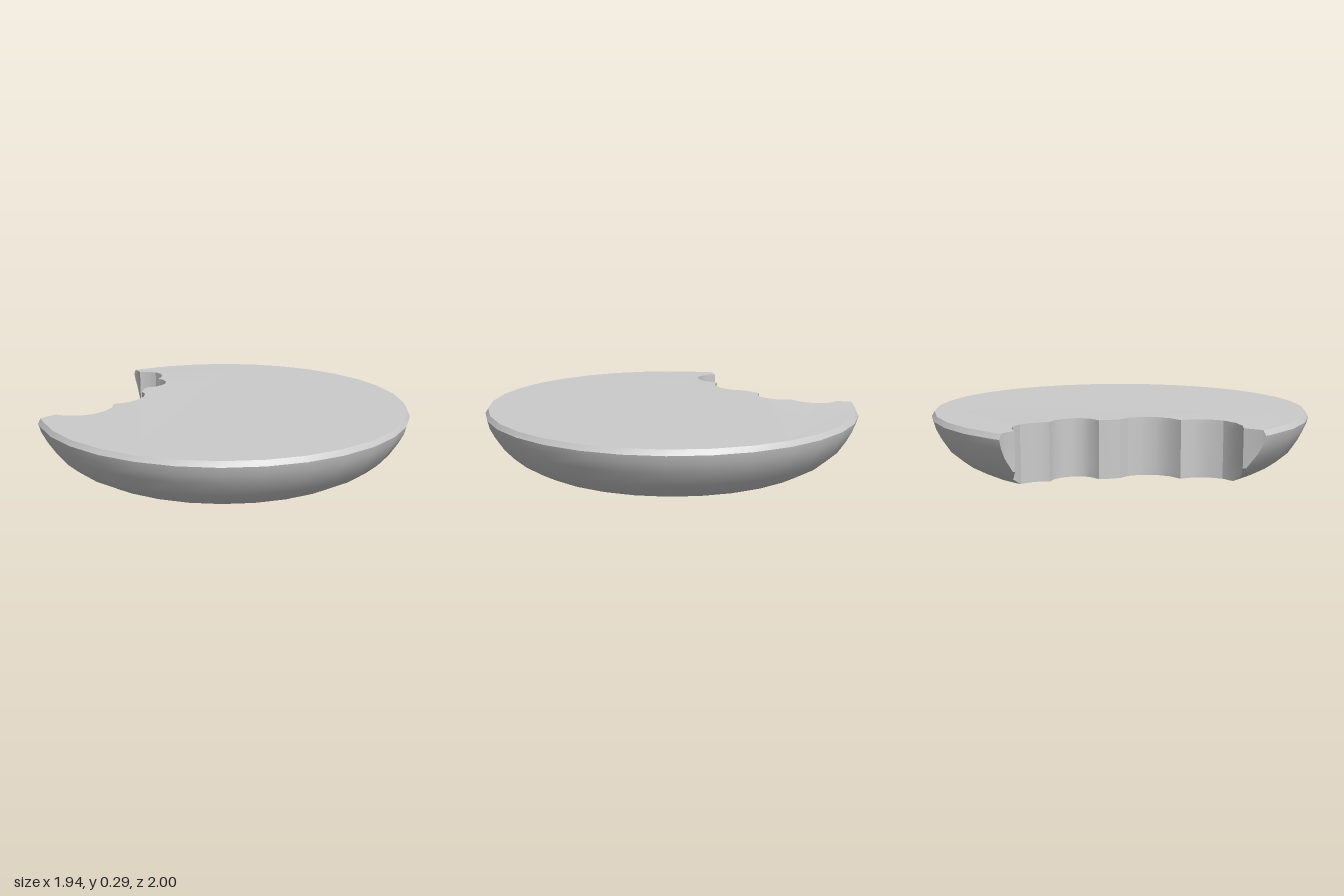
import * as THREE from 'three';
import { toCreasedNormals } from 'three/addons/utils/BufferGeometryUtils.js';

const CENTER_X = -0.03;
const SIDES = 32;

// Bite outline seen from above (x, z), from the back rim to the front rim
const BITE = [
  [-1.0, -0.355], [-0.93, -0.335], [-0.885, -0.305],
  [-0.84, -0.335], [-0.79, -0.345], [-0.735, -0.33], [-0.69, -0.285], [-0.665, -0.24], [-0.66, -0.21],
  [-0.61, -0.2], [-0.57, -0.17], [-0.54, -0.13], [-0.53, -0.085], [-0.537, -0.04], [-0.57, 0.01],
  [-0.55, 0.06], [-0.525, 0.105],
  [-0.475, 0.135], [-0.44, 0.19], [-0.425, 0.265], [-0.44, 0.335], [-0.48, 0.395],
  [-0.44, 0.45], [-0.425, 0.52], [-0.437, 0.595], [-0.48, 0.655], [-0.54, 0.69], [-0.605, 0.7],
  [-0.62, 0.785], [-0.63, 0.81],
].map(([x, z]) => new THREE.Vector2(x - CENTER_X, z));

// Side profile: radius and height, bottom to top
const PROFILE = [[0.785, 0], [0.86, 0.042], [0.92, 0.095], [0.965, 0.165], [0.99, 0.215], [1, 0.255], [0.985, 0.28]];

// Pulls the points beyond radius r back to where the line enters the circle
function clipStart(points, r) {
  const k = points.findIndex((p) => p.length() <= r);
  let inside = points[k].clone(), outside = points[k - 1].clone();
  for (let i = 0; i < 30; i++) {
    const mid = inside.clone().lerp(outside, 0.5);
    if (mid.length() <= r) inside = mid; else outside = mid;
  }
  return points.map((p, i) => (i < k ? inside.clone() : p));
}

// Closed cross-section at radius r: the remaining arc, then the bite
function section(r) {
  const bite = clipStart(clipStart(BITE, r).reverse(), r).reverse();
  const low = bite[0].angle() - Math.PI * 2;
  const high = bite[bite.length - 1].angle();
  const ring = [];
  for (let k = 12; k >= -15; k--) {
    const a = THREE.MathUtils.clamp((k * Math.PI * 2) / SIDES, low, high);
    ring.push(new THREE.Vector2(Math.cos(a) * r, Math.sin(a) * r));
  }
  return ring.concat(bite);
}

function createBody() {
  const positions = [];
  const face = (a, b, c) => {
    const area = b.clone().sub(a).cross(c.clone().sub(a)).length();
    if (area > 1e-8) for (const p of [a, b, c]) positions.push(p.x, p.y, p.z);
  };
  const rings = PROFILE.map(([r, y], level) => section(r).map((p) => {
    // The top swells slightly towards the middle
    const height = level === PROFILE.length - 1 ? 0.294 - 0.014 * p.lengthSq() : y;
    return new THREE.Vector3(p.x, height, p.y);
  }));

  // Rounded side and scalloped bite wall
  for (let j = 0; j < rings.length - 1; j++) {
    const lower = rings[j], upper = rings[j + 1];
    for (let i = 0; i < lower.length; i++) {
      const n = (i + 1) % lower.length;
      face(lower[i], lower[n], upper[n]);
      face(lower[i], upper[n], upper[i]);
    }
  }

  // Top and bottom
  const cap = (ring, up) => {
    const flat = ring.map((p) => new THREE.Vector2(p.x, -p.z));
    for (const [a, b, c] of THREE.ShapeUtils.triangulateShape(flat, [])) {
      const flip = (flat[b].x - flat[a].x) * (flat[c].y - flat[a].y)
        - (flat[b].y - flat[a].y) * (flat[c].x - flat[a].x) > 0 !== up;
      if (flip) face(ring[a], ring[c], ring[b]); else face(ring[a], ring[b], ring[c]);
    }
  };
  cap(rings[rings.length - 1], true);
  cap(rings[0], false);

  const geometry = new THREE.BufferGeometry();
  geometry.setAttribute('position', new THREE.Float32BufferAttribute(positions, 3));
  return toCreasedNormals(geometry, 0.46);
}

export function createModel() {
  const group = new THREE.Group();
  group.name = 'bittenCookie';
  const body = new THREE.Mesh(createBody(), new THREE.MeshStandardMaterial({ color: 0xcccccc }));
  body.name = 'cookieBody';
  body.position.x = CENTER_X;
  group.add(body);
  return group;
}
